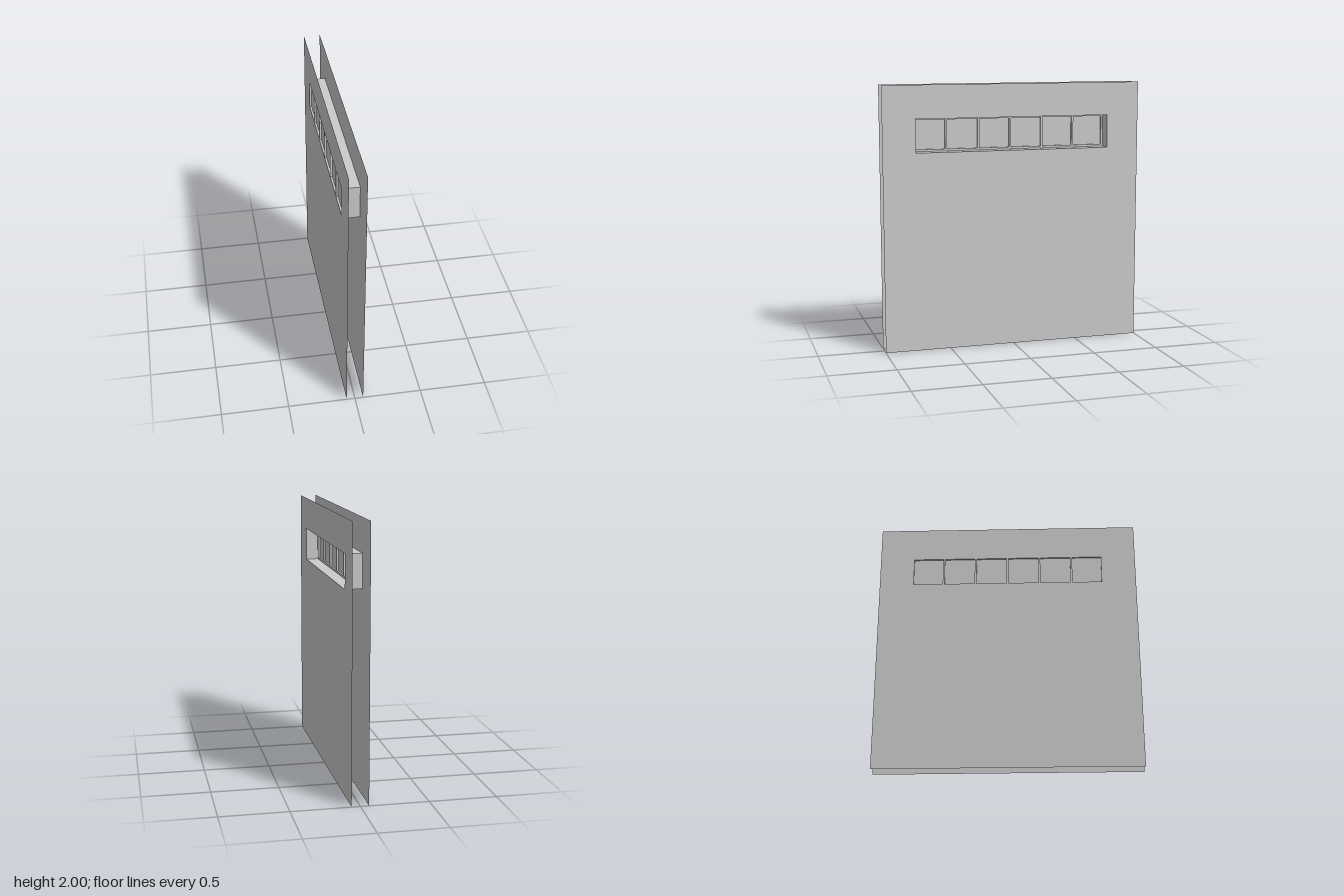
import * as THREE from 'three';

const WALL_X = 0.0625;                                 // half the wall thickness
const WIN = { z: 0.75, y0: 1.5, y1: 1.75 };            // window opening
const BAR = 0.015, FRAME_DEPTH = 0.03, PANES = 6;

const material = new THREE.MeshStandardMaterial({ color: 0xcccccc, side: THREE.DoubleSide });

// Rectangle as a Shape or Path in the wall plane
function rect(Type, x0, y0, x1, y1) {
  return new Type([[x0, y0], [x1, y0], [x1, y1], [x0, y1]].map(p => new THREE.Vector2(...p)));
}

export function createModel() {
  const group = new THREE.Group();
  const add = (name, geometry, x = 0, y = 0, z = 0) => {
    const mesh = new THREE.Mesh(geometry, material);
    mesh.name = name;
    mesh.position.set(x, y, z);
    group.add(mesh);
    return mesh;
  };

  // Two thin wall skins with the window cut out
  const wall = rect(THREE.Shape, -1, 0, 1, 2);
  wall.holes.push(rect(THREE.Path, -WIN.z, WIN.y0, WIN.z, WIN.y1));
  const skin = new THREE.ShapeGeometry(wall).rotateY(Math.PI / 2);
  add('leftWallSkin', skin, WALL_X);
  add('rightWallSkin', skin, -WALL_X);

  // Reveal lining the opening between the skins
  const height = WIN.y1 - WIN.y0, midY = (WIN.y0 + WIN.y1) / 2;
  const board = new THREE.PlaneGeometry(2 * WALL_X, 2 * WIN.z).rotateX(-Math.PI / 2);
  add('windowSill', board, 0, WIN.y0);
  add('windowHead', board, 0, WIN.y1);
  const jamb = new THREE.PlaneGeometry(2 * WALL_X, height);
  for (const s of [-1, 1]) add(s > 0 ? 'frontJamb' : 'backJamb', jamb, 0, midY, s * WIN.z);

  // Window frame with slim mullions, set flush with the right skin
  const frame = rect(THREE.Shape, -WIN.z, WIN.y0, WIN.z, WIN.y1);
  const pitch = 2 * WIN.z / PANES;
  for (let i = 0; i < PANES; i++) {
    const a = -WIN.z + i * pitch + (i === 0 ? BAR : BAR / 2);
    const b = -WIN.z + (i + 1) * pitch - (i === PANES - 1 ? BAR : BAR / 2);
    frame.holes.push(rect(THREE.Path, a, WIN.y0 + BAR, b, WIN.y1 - BAR));
  }
  const frameGeometry = new THREE.ExtrudeGeometry(frame, { depth: FRAME_DEPTH, bevelEnabled: false });
  add('windowFrame', frameGeometry.rotateY(Math.PI / 2), -WALL_X);

  // Glass in the middle of the frame depth
  const glass = new THREE.PlaneGeometry(2 * (WIN.z - BAR), height - 2 * BAR).rotateY(Math.PI / 2);
  add('glass', glass, -WALL_X + FRAME_DEPTH / 2, midY);

  return group;
}
